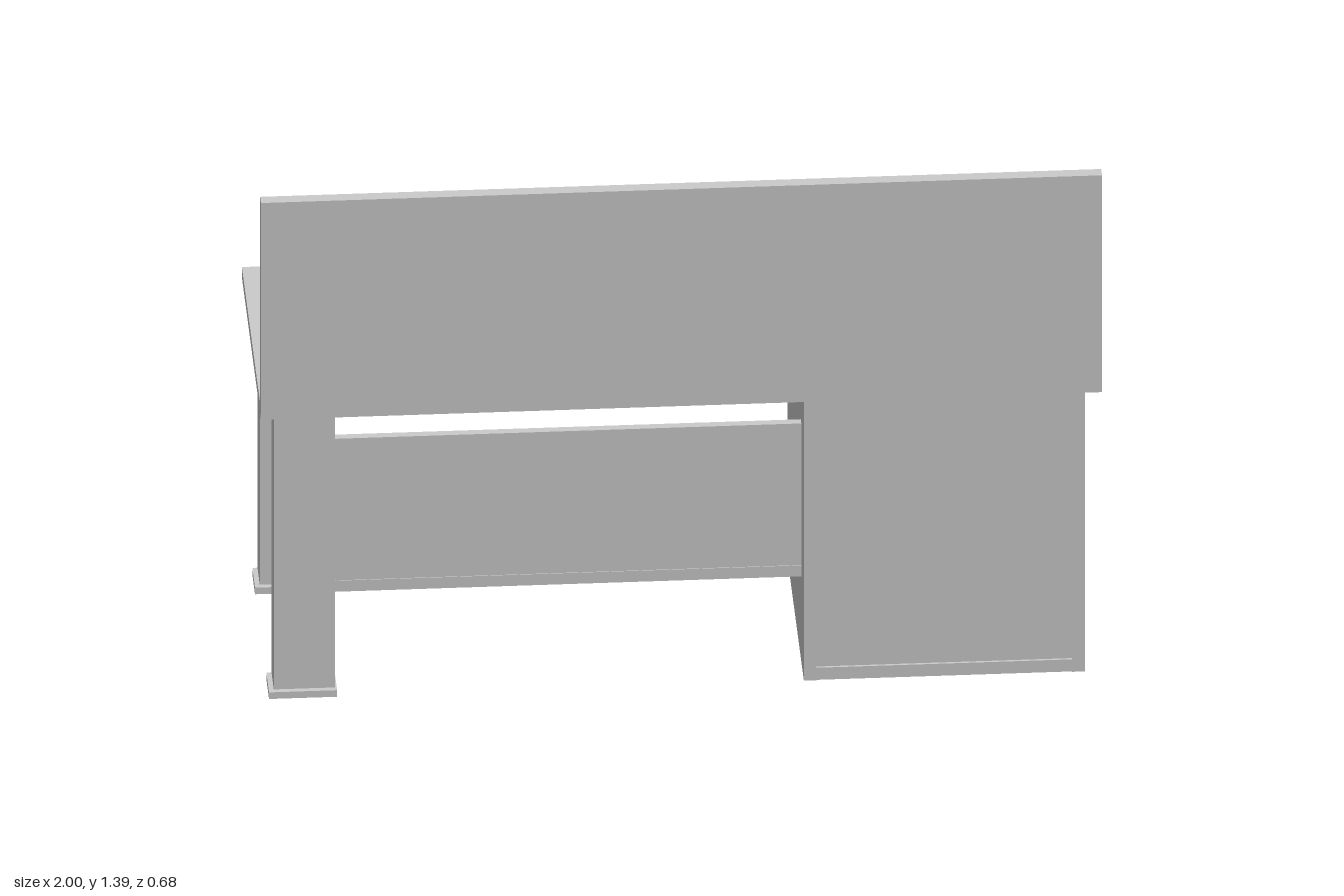
import * as THREE from 'three';

const grey = new THREE.MeshStandardMaterial({ color: 0xcccccc, side: THREE.DoubleSide });

function add(parent, name, geometry) {
  const mesh = new THREE.Mesh(geometry, grey);
  mesh.name = name;
  parent.add(mesh);
  return mesh;
}

// Box given by its limits on each axis
function box(parent, name, [x0, x1], [y0, y1], [z0, z1]) {
  const g = new THREE.BoxGeometry(x1 - x0, y1 - y0, z1 - z0);
  g.translate((x0 + x1) / 2, (y0 + y1) / 2, (z0 + z1) / 2);
  return add(parent, name, g);
}

function extrude(points, depth) {
  const shape = new THREE.Shape(points.map(([a, b]) => new THREE.Vector2(a, b)));
  return new THREE.ExtrudeGeometry(shape, { depth, bevelEnabled: false });
}

// Profile of [z, y] points swept along x
function sweepX(parent, name, points, x0, x1) {
  const g = extrude(points, x1 - x0);
  g.rotateY(-Math.PI / 2);
  g.translate(x1, 0, 0);
  return add(parent, name, g);
}

function group(parent, name) {
  const g = new THREE.Group();
  g.name = name;
  parent.add(g);
  return g;
}

// Lipped channel leg, open towards the middle of the bench; dir is the outer side in z
function leg(parent, name, outerZ, dir) {
  const g = group(parent, name);
  const x0 = -0.965, x1 = -0.82, t = 0.008, lip = 0.035, depth = 0.075;
  const section = [
    [x0, 0], [x1, 0], [x1, depth], [x1 - lip, depth], [x1 - lip, depth - t],
    [x1 - t, depth - t], [x1 - t, t], [x0 + t, t], [x0 + t, depth - t],
    [x0 + lip, depth - t], [x0 + lip, depth], [x0, depth],
  ].map(([x, d]) => [x, outerZ - dir * d]);
  const channel = extrude(section, 0.775);
  channel.rotateX(Math.PI / 2);
  channel.translate(0, 0.795, 0);
  add(g, name + 'Channel', channel);
  const zs = [outerZ + dir * 0.01, outerZ - dir * (depth + 0.01)].sort((a, b) => a - b);
  box(g, name + 'Foot', [-0.977, -0.815], [0, 0.018], zs);
}

// Wall tray: floor, back strip, triangular ends and their mounting flanges
function wallShelf(parent, name, x0, x1, y0, y1) {
  const g = group(parent, name);
  const back = 0.311, front = 0.195, t = 0.007;
  box(g, 'shelfFloor', [x0, x1], [y0, y0 + t], [front, back]);
  box(g, 'shelfBackStrip', [x0, x1], [y0, y0 + 0.03], [back - t, back]);
  const end = [[front, y0], [back, y0], [back, y1], [front, y0 + 0.008]];
  for (const [a, f] of [[x0, x0], [x1 - t, x1 - 0.035]]) {
    sweepX(g, 'shelfEnd', end, a, a + t);
    box(g, 'shelfFlange', [f, f + 0.035], [y0, y1 - 0.01], [back - t, back]);
  }
}

function cabinet(parent) {
  const g = group(parent, 'drawerCabinet');
  const x0 = 0.295, x1 = 0.963, t = 0.03, z0 = -0.308, z1 = 0.28;
  box(g, 'cabinetSide', [x0, x0 + t], [0, 0.795], [z0, z1]);
  box(g, 'cabinetSide', [x1 - t, x1], [0, 0.795], [z0, z1]);
  box(g, 'cabinetBase', [x0 + t, x1 - t], [0, 0.033], [z0, z1 - 0.002]);
  box(g, 'cabinetTopRail', [x0 + t, x1 - t], [0.763, 0.795], [z0, z1 - 0.002]);
  box(g, 'cabinetBack', [x0 + t, x1 - t], [0.033, 0.763], [z1 - 0.022, z1 - 0.008]);
  box(g, 'drawerBodies', [x0 + t, x1 - t], [0.033, 0.763], [-0.29, -0.27]);
  // Drawer fronts with a curved grip along the upper edge
  const levels = [0.763, 0.605, 0.447, 0.29, 0.033];
  for (let i = 0; i < 4; i++) {
    const top = levels[i] - 0.003, bottom = levels[i + 1] + 0.003, f = -0.304;
    sweepX(g, 'drawerFront', [
      [-0.288, bottom], [f, bottom], [f, top - 0.024], [f - 0.003, top - 0.02],
      [f - 0.009, top - 0.012], [f - 0.009, top - 0.006], [f - 0.003, top], [-0.288, top],
    ], x0 + t + 0.003, x1 - t - 0.003);
  }
}

export function createModel() {
  const model = new THREE.Group();
  model.name = 'workbench';

  box(model, 'worktop', [-1, 1], [0.797, 0.826], [-0.34, 0.311]);
  box(model, 'uprightPanel', [-1, 1], [0.797, 1.39], [0.311, 0.341]);
  wallShelf(model, 'upperWallShelf', -0.82, -0.25, 1.147, 1.38);
  wallShelf(model, 'lowerWallShelf', -0.82, -0.02, 0.877, 1.11);

  cabinet(model);

  // Leg frame
  leg(model, 'frontLeg', 0.273, 1);
  leg(model, 'rearLeg', -0.303, -1);
  box(model, 'upperCrossBar', [-0.93, -0.855], [0.74, 0.795], [-0.295, 0.265]);
  box(model, 'lowerCrossBar', [-0.93, -0.855], [0.237, 0.262], [-0.295, 0.265]);

  // Low shelf and screen between the legs and the cabinet
  box(model, 'lowShelf', [-0.935, 0.295], [0.235, 0.265], [-0.14, 0.192]);
  box(model, 'kneeScreen', [-0.825, 0.295], [0.265, 0.652], [0.17, 0.19]);

  return model;
}
